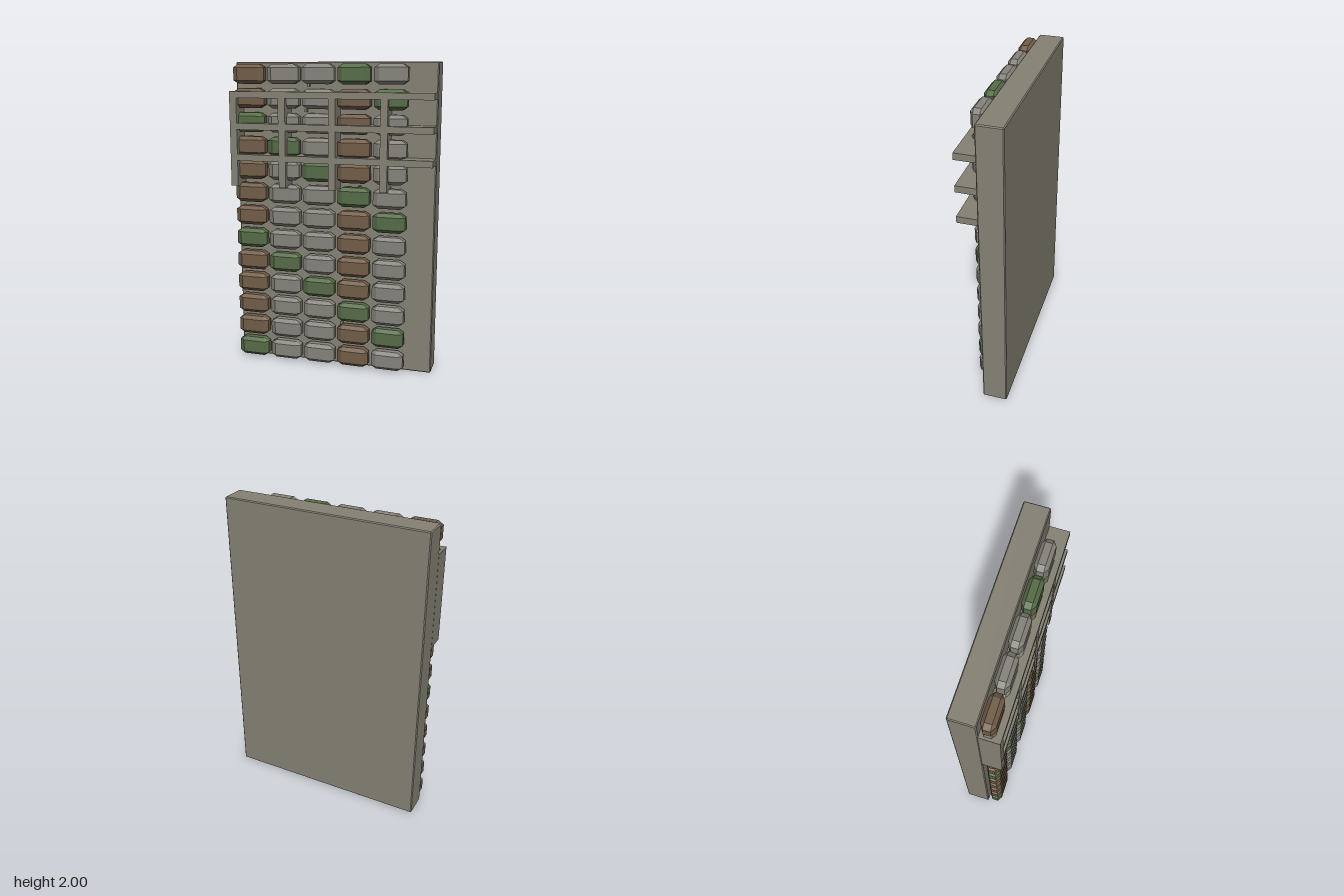
import * as THREE from 'three';
import { ConvexGeometry } from 'three/addons/geometries/ConvexGeometry.js';

const material = (name, color) => {
  const m = new THREE.MeshStandardMaterial({ color, flatShading: true });
  m.name = name;
  return m;
};

// Box with every edge cut off; cx, cy, cz are the cuts along each axis.
function chamferedBox(w, h, d, cx, cy, cz) {
  const X = w / 2, Y = h / 2, Z = d / 2;
  const points = [];
  for (const i of [-1, 1]) for (const j of [-1, 1]) for (const k of [-1, 1]) {
    points.push(
      new THREE.Vector3(i * X, j * (Y - cy), k * (Z - cz)),
      new THREE.Vector3(i * (X - cx), j * Y, k * (Z - cz)),
      new THREE.Vector3(i * (X - cx), j * (Y - cy), k * Z)
    );
  }
  return new ConvexGeometry(points);
}

export function createModel() {
  const model = new THREE.Group();
  model.name = 'stoneWall';
  const wallStone = material('wall stone', 0x858174);
  const greyStone = material('grey stone', 0x85837b);
  const brownStone = material('brown stone', 0x725d48);
  const mossStone = material('mossy stone', 0x566c47);

  const add = (parent, name, geometry, mat, x, y, z) => {
    const mesh = new THREE.Mesh(geometry, mat);
    mesh.name = name;
    mesh.position.set(x, y, z);
    parent.add(mesh);
  };

  // Backing slab
  add(model, 'slab', chamferedBox(1.326, 2, 0.16, 0.006, 0.006, 0.006), wallStone, 0, 1, -0.062);

  // Rows of faceted stones, with moss running diagonally
  const stones = new THREE.Group();
  stones.name = 'stones';
  const stone = chamferedBox(0.21, 0.125, 0.086, 0.034, 0.022, 0.022);
  for (let row = 0; row < 13; row++) {
    for (let col = 0; col < 5; col++) {
      const mossy = (col - row + 15) % 5 === 3;
      const mat = mossy ? mossStone : col % 3 === 0 ? brownStone : greyStone;
      add(stones, 'stone', stone, mat, -0.548 + col * 0.233, 1.925 - row * 0.1537, 0.067);
    }
  }
  model.add(stones);

  // Projecting lattice: three ledges crossed by four uprights
  const lattice = new THREE.Group();
  lattice.name = 'lattice';
  const ledge = new THREE.BoxGeometry(1.322, 0.042, 0.126);
  const upright = new THREE.BoxGeometry(0.047, 0.61, 0.125);
  for (const y of [1.795, 1.593, 1.392]) add(lattice, 'ledge', ledge, wallStone, 0, y, 0.079);
  for (let i = 0; i < 4; i++) {
    add(lattice, 'upright', upright, wallStone, -0.639 + i * 0.3315, 1.51, 0.079);
  }
  model.add(lattice);

  // Small chips between the stones
  const chip = new THREE.BoxGeometry(0.018, 0.018, 0.018);
  const chips = [[-0.157, 1.857], [-0.175, 1.697], [-0.49, 0.628], [0.065, 0.295], [0.18, 1.217]];
  for (const [x, y] of chips) add(model, 'chip', chip, wallStone, x, y, 0.04);

  return model;
}
